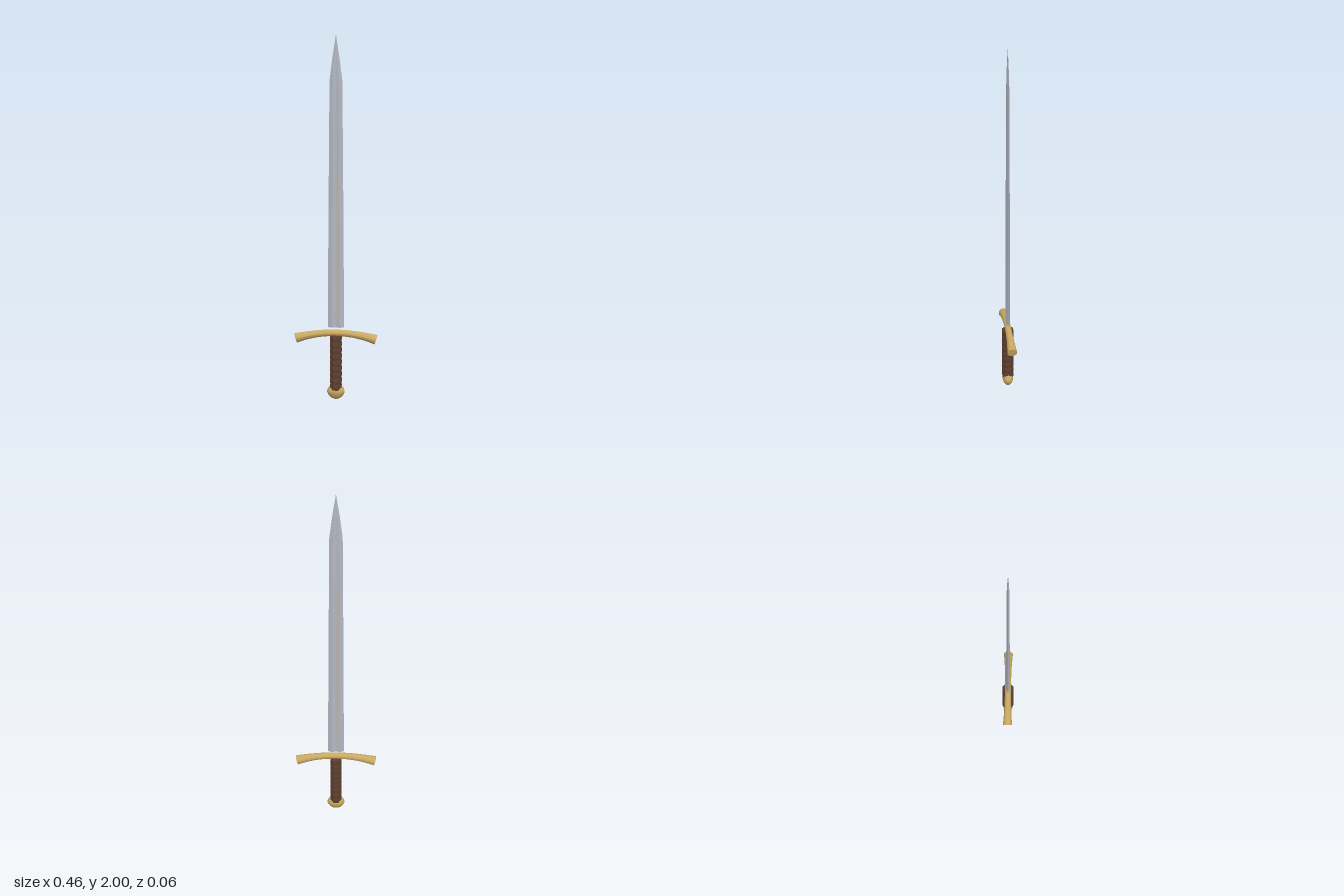
import * as THREE from 'three';

const mat = (color, flatShading = false) => new THREE.MeshStandardMaterial({ color, flatShading });

function add(group, name, geometry, material) {
  const mesh = new THREE.Mesh(geometry, material);
  mesh.name = name;
  group.add(mesh);
  return mesh;
}

// Hollow-ground blade: rows of [y, half width, ridge x, ridge z, fuller z]
function bladeGeometry(rows) {
  const pos = [];
  const rings = rows.map(([y, w, f, t, d]) =>
    [[w, 0], [f, t], [0, d], [-f, t], [-w, 0], [-f, -t], [0, -d], [f, -t]].map(([x, z]) => [x, y, z]));
  const tri = (a, b, c) => pos.push(...a, ...b, ...c);
  const n = 8;
  for (let i = 0; i < rings.length - 1; i++) {
    for (let j = 0; j < n; j++) {
      const k = (j + 1) % n;
      const [a, b, c, d] = [rings[i][j], rings[i][k], rings[i + 1][j], rings[i + 1][k]];
      tri(a, c, b);
      tri(b, c, d);
    }
  }
  for (let j = 0; j < n; j++) tri([0, rows[0][0], 0], rings[0][j], rings[0][(j + 1) % n]);
  const geo = new THREE.BufferGeometry();
  geo.setAttribute('position', new THREE.Float32BufferAttribute(pos, 3));
  geo.computeVertexNormals();
  return geo;
}

// Round bar bent down along a parabola, flaring towards both ends
function guardGeometry() {
  const half = 0.22, drop = 0.034;
  const geo = new THREE.CylinderGeometry(1, 1, 2, 16, 24);
  geo.rotateZ(Math.PI / 2);
  const p = geo.attributes.position;
  for (let i = 0; i < p.count; i++) {
    const s = p.getX(i);
    const r = 0.018 + 0.009 * Math.abs(s) ** 2.5;
    const angle = Math.atan(-2 * drop * s / half);
    const v = p.getY(i) * r;
    p.setXYZ(i, s * half - Math.sin(angle) * v, 0.383 - drop * s * s + Math.cos(angle) * v, p.getZ(i) * r);
  }
  geo.computeVertexNormals();
  return geo;
}

export function createModel() {
  const sword = new THREE.Group();
  sword.name = 'sword';
  const steel = mat(0xb4b8c2, true);
  const gold = mat(0xc9a962);
  const leather = mat(0x5e4030, true);

  // Blade
  add(sword, 'blade', bladeGeometry([
    [0.415, 0.045, 0.022, 0.011, 0.004],
    [1.1, 0.04, 0.019, 0.009, 0.0035],
    [1.76, 0.034, 0.016, 0.007, 0.003],
    [1.88, 0.019, 0.009, 0.005, 0.004],
    [2.0, 0.0005, 0.0003, 0.0005, 0.0005],
  ]), steel);

  // Inlay lying in the fuller on both faces
  const inlay = new THREE.CylinderGeometry(0.007, 0.011, 1.25, 4, 1);
  inlay.rotateY(Math.PI / 4);
  inlay.scale(1, 1, 0.65);
  add(sword, 'fullerInlay', inlay, mat(0xc4b48c, true)).position.y = 1.09;

  // Crossguard
  add(sword, 'crossguard', guardGeometry(), gold);

  // Octagonal grip with wrapped ridges
  const wraps = 9, y0 = 0.06, y1 = 0.37;
  const profile = [new THREE.Vector2(0, y0)];
  for (let i = 0; i <= wraps * 4; i++) {
    const t = i / (wraps * 4);
    const r = 0.0325 + 0.0025 * Math.abs(Math.sin(t * wraps * Math.PI));
    profile.push(new THREE.Vector2(r, y0 + (y1 - y0) * t));
  }
  profile.push(new THREE.Vector2(0, y1));
  add(sword, 'grip', new THREE.LatheGeometry(profile, 8, Math.PI / 8), leather);

  // Pommel, flattened front to back
  const pommelProfile = [[0, 0.004], [0.014, 0.006], [0.029, 0.014], [0.041, 0.027], [0.049, 0.043],
    [0.049, 0.052], [0.044, 0.066], [0.036, 0.077], [0.024, 0.085], [0, 0.087]]
    .map(([r, y]) => new THREE.Vector2(r, y < 0.005 ? 0 : y));
  const pommel = new THREE.LatheGeometry(pommelProfile, 24);
  pommel.scale(1, 1, 0.62);
  add(sword, 'pommel', pommel, gold);

  return sword;
}
